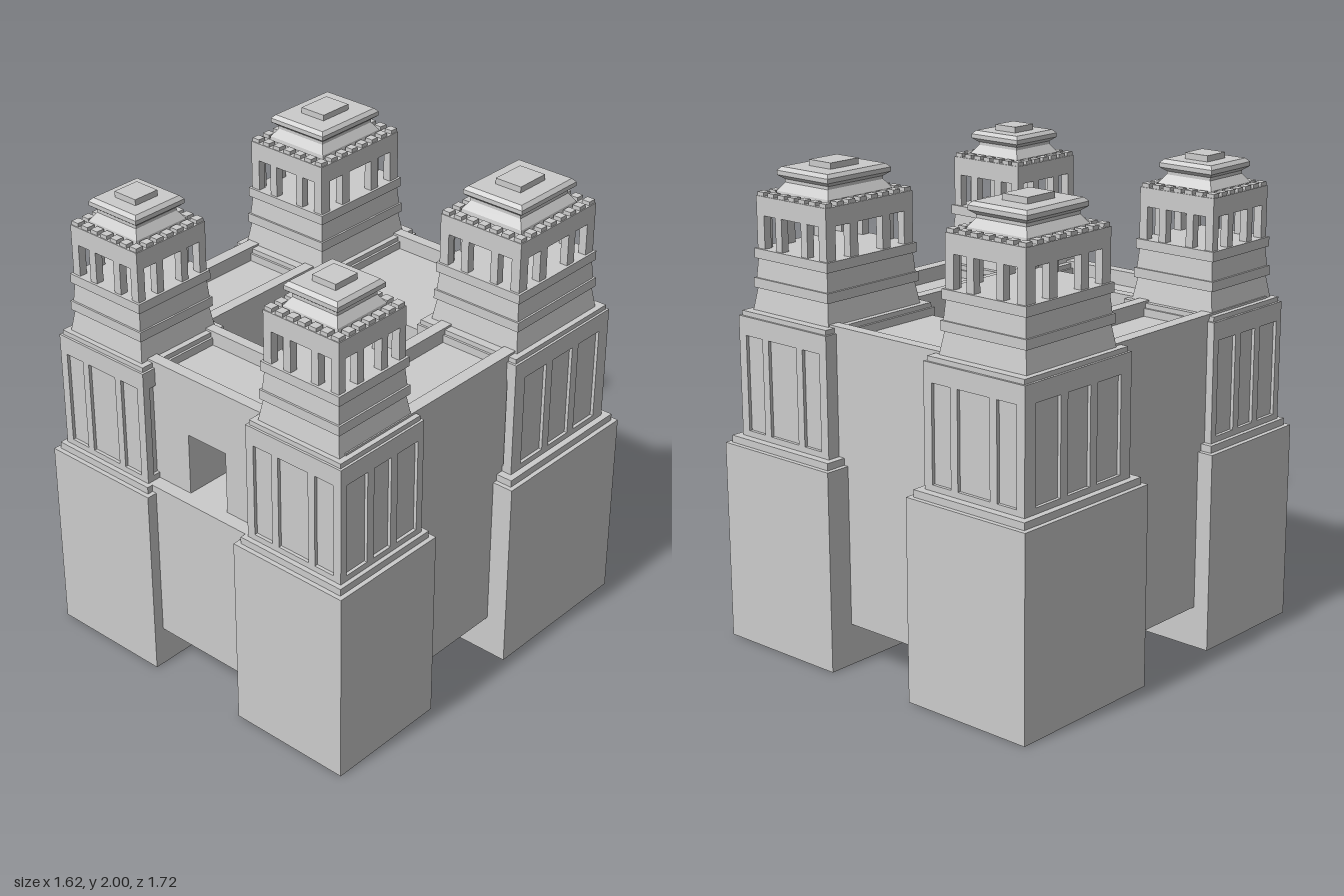
import * as THREE from 'three';

const material = new THREE.MeshStandardMaterial({ color: 0xcccccc, flatShading: true, side: THREE.DoubleSide });

function add(parent, name, geometry, x = 0, y = 0, z = 0) {
  const mesh = new THREE.Mesh(geometry, material);
  mesh.name = name;
  mesh.position.set(x, y, z);
  parent.add(mesh);
  return mesh;
}

// Box given by its limits on each axis
function block(parent, name, x0, x1, y0, y1, z0, z1) {
  return add(parent, name, new THREE.BoxGeometry(x1 - x0, y1 - y0, z1 - z0),
    (x0 + x1) / 2, (y0 + y1) / 2, (z0 + z1) / 2);
}

// Rectangular rings [halfX, halfZ, y] joined upwards, open below and closed at the top
function loft(rings) {
  const pos = [];
  const corner = ([hx, hz, y], i) => [[hx, y, hz], [hx, y, -hz], [-hx, y, -hz], [-hx, y, hz]][i % 4];
  const quad = (a, b, c, d) => pos.push(...a, ...b, ...c, ...a, ...c, ...d);
  for (let r = 0; r < rings.length - 1; r++) {
    for (let i = 0; i < 4; i++) {
      quad(corner(rings[r], i), corner(rings[r], i + 1), corner(rings[r + 1], i + 1), corner(rings[r + 1], i));
    }
  }
  const top = rings[rings.length - 1];
  quad(corner(top, 3), corner(top, 0), corner(top, 1), corner(top, 2));
  // Turn the faces outwards
  for (let i = 0; i < pos.length; i += 9) {
    const [a, c] = [pos.slice(i, i + 3), pos.slice(i + 6, i + 9)];
    const isTop = i >= pos.length - 18;
    if (!isTop) pos.splice(i, 9, ...c, ...pos.slice(i + 3, i + 6), ...a);
  }
  const g = new THREE.BufferGeometry();
  g.setAttribute('position', new THREE.Float32BufferAttribute(pos, 3));
  g.computeVertexNormals();
  return g;
}

// Wall slab with three rectangular openings: [middle half width, side inner, side outer]
function piercedWall(half, y0, y1, h0, h1, [m, a, b], depth) {
  const rect = (T, x0, x1, ya, yb) => new T([[x0, ya], [x1, ya], [x1, yb], [x0, yb]].map(p => new THREE.Vector2(...p)));
  const shape = rect(THREE.Shape, -half, half, y0, y1);
  for (const [x0, x1] of [[-b, -a], [-m, m], [a, b]]) shape.holes.push(rect(THREE.Path, x0, x1, h0, h1));
  return new THREE.ExtrudeGeometry(shape, { depth, bevelEnabled: false });
}

// Pierced walls on all four sides of a rectangle
function fourWalls(parent, name, [hx, hz], y0, y1, h0, h1, openX, openZ, depth) {
  for (let i = 0; i < 4; i++) {
    const alongX = i % 2 === 0;
    const wall = add(parent, name, piercedWall(alongX ? hx : hz - depth, y0, y1, h0, h1, alongX ? openX : openZ, depth));
    const angle = i * Math.PI / 2, out = (alongX ? hz : hx) - depth;
    wall.rotation.y = angle;
    wall.position.set(Math.sin(angle) * out, 0, Math.cos(angle) * out);
  }
}

function tower(name, o) {
  const g = new THREE.Group();
  g.name = name;
  const ring = (dims, grow, y) => [dims[0] + grow, dims[1] + grow, y];
  const { base, body, belfry, roof } = o;

  // Hollow shaft, open underneath, stepping up to the belfry floor
  add(g, 'shaft', loft([
    ring(base, 0, 0), ring(base, 0, 0.845),
    ring(base, -0.02, 0.845), ring(base, -0.02, 0.875),
    ring(body, -0.014, 0.875), ring(body, -0.014, 1.375),
    ring(body, -0.01, 1.375), ring(body, -0.01, 1.398),
    ring(belfry, 0.018, 1.398), ring(belfry, 0.003, 1.49),
    ring(belfry, 0.014, 1.49), ring(belfry, 0.014, 1.53),
    ring(belfry, 0.006, 1.53), ring(belfry, -0.001, 1.61),
    ring(belfry, 0.01, 1.61), ring(belfry, 0.01, 1.65),
  ]));
  fourWalls(g, 'panelFrame', body, 0.87, 1.378, 0.9, 1.3, o.panelX, o.panelZ, 0.015);

  // Belfry arcade with ceiling
  fourWalls(g, 'belfryArcade', belfry, 1.62, 1.862, 1.65, 1.785, o.openX, o.openZ, 0.035);
  block(g, 'belfryCeiling', -belfry[0] + 0.02, belfry[0] - 0.02, 1.79, 1.862, -belfry[1] + 0.02, belfry[1] - 0.02);

  // Ring of merlons, set slightly in from the edge
  const s = 0.036, mx = belfry[0] - s / 2 - 0.004, mz = belfry[1] - s / 2 - 0.004, [nx, nz] = o.merlons;
  const merlon = new THREE.BoxGeometry(s, 0.03, s);
  for (let i = 0; i < nx; i++) for (let k = 0; k < nz; k++) {
    if (i % (nx - 1) && k % (nz - 1)) continue;
    add(g, 'merlon', merlon, -mx + 2 * mx * i / (nx - 1), 1.863, -mz + 2 * mz * k / (nz - 1));
  }

  // Roof with sloping skirt, brim and top block
  add(g, 'roof', loft([
    ring(roof, 0, 1.855), ring(roof, -0.004, 1.878), ring(roof, -0.028, 1.912), ring(roof, -0.028, 1.925),
    ring(roof, -0.006, 1.942), ring(roof, -0.006, 1.96), ring(roof, -0.02, 1.975),
  ]));
  block(g, 'roofBlock', -belfry[0] * 0.31, belfry[0] * 0.31, 1.97, 2, -belfry[1] * 0.32, belfry[1] * 0.32);
  return g;
}

export function createModel() {
  const model = new THREE.Group();
  model.name = 'gatehouse';

  // Lower body, hollow and open underneath
  add(model, 'lowerBody', loft([[0.715, 0.78, 0.175], [0.715, 0.78, 0.875]]), 0, 0, 0.03);

  // Upper ranges around the courtyard, with a doorway at the front
  const y0 = 0.875, yt = 1.345, yp = 1.407;
  block(model, 'backRange', -0.715, 0.715, y0, yt, -0.75, -0.205);
  block(model, 'doorLintel', -0.1, 0.1, 1.145, yt, 0.385, 0.75);
  block(model, 'backParapet', -0.715, 0.715, yt, yp, -0.75, -0.7);
  block(model, 'frontParapet', -0.715, 0.715, yt, yp, 0.7, 0.75);
  block(model, 'courtyardFrontParapet', -0.345, 0.345, yt, yp, 0.385, 0.43);
  for (const s of [-1, 1]) {
    const side = (name, a, b, ...rest) => block(model, name, Math.min(s * a, s * b), Math.max(s * a, s * b), ...rest);
    side('sideRange', 0.345, 0.715, y0, yt, -0.205, 0.385);
    side('frontRange', 0.1, 0.715, y0, yt, 0.385, 0.75);
    side('sideParapet', 0.66, 0.715, yt, yp, -0.7, 0.7);
    side('courtyardSideParapet', 0.345, 0.395, yt, yp, -0.3, 0.43);

    // Front and back towers
    const hand = s > 0 ? 'Left' : 'Right';
    const front = tower('front' + hand + 'Tower', {
      base: [0.275, 0.275], body: [0.237, 0.233], belfry: [0.183, 0.183], roof: [0.136, 0.136],
      panelX: [0.075, 0.108, 0.2], panelZ: [0.048, 0.085, 0.2],
      openX: [0.05, 0.085, 0.145], openZ: [0.048, 0.083, 0.147], merlons: [7, 7],
    });
    front.position.set(s * 0.51, 0, 0.581);
    const back = tower('back' + hand + 'Tower', {
      base: [0.298, 0.361], body: [0.25, 0.307], belfry: [0.197, 0.24], roof: [0.15, 0.18],
      panelX: [0.08, 0.115, 0.21], panelZ: [0.065, 0.106, 0.245],
      openX: [0.055, 0.09, 0.155], openZ: [0.068, 0.112, 0.19], merlons: [7, 8],
    });
    back.position.set(s * 0.51, 0, -0.5);
    model.add(front, back);
  }
  return model;
}
